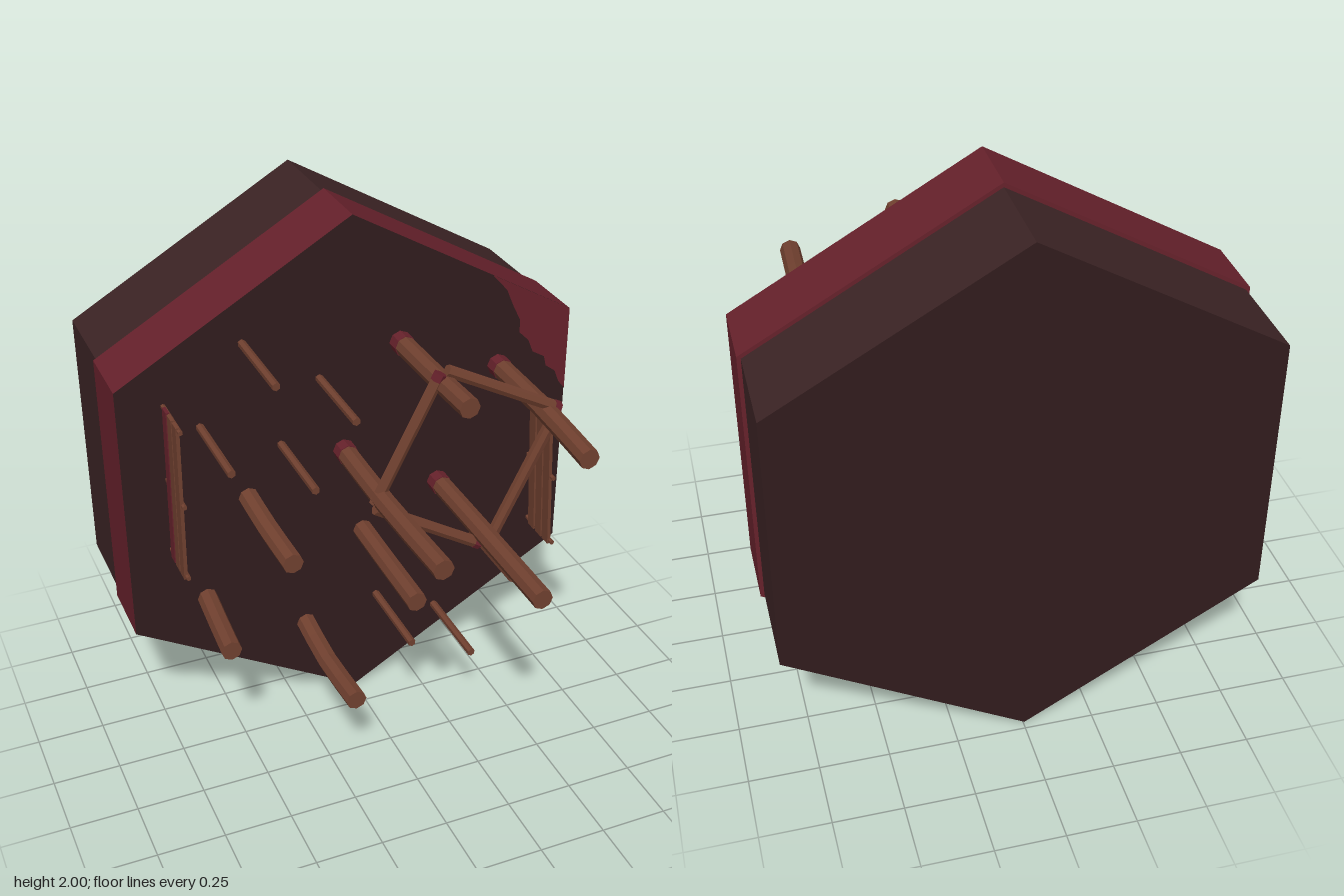
import * as THREE from 'three';

const FACE = -0.11; // z of the tile's front face

const mat = (name, color, extra = {}) => {
  const m = new THREE.MeshStandardMaterial({ color, flatShading: true, ...extra });
  m.name = name;
  return m;
};

export function createModel() {
  const group = new THREE.Group();
  const earth = mat('dark earth', 0x311c1d);
  const rock = mat('brown rock', 0x3b2324);
  const red = mat('deep red', 0x66212b);
  const wood = mat('wood', 0x70402f);

  const add = (name, geo, material, parent = group) => {
    const m = new THREE.Mesh(geo, material);
    m.name = name;
    parent.add(m);
    return m;
  };

  // Hexagonal slab between two z positions: sides, front cap, back cap
  const slab = (name, r, z0, z1, materials) => {
    const g = new THREE.CylinderGeometry(r, r, z1 - z0, 6).rotateX(Math.PI / 2);
    add(name, g.translate(0, 1, (z0 + z1) / 2), materials);
  };
  slab('frontTile', 1, -0.375, FACE, [red, earth, red]);
  slab('backTile', 0.984, -0.735, -0.375, [rock, earth, earth]);

  // Ragged red corner on the front face
  const corner = [[0.54, 1.688], [0.6, 1.62], [0.63, 1.55], [0.66, 1.49], [0.66, 1.44], [0.7, 1.4],
    [0.72, 1.35], [0.77, 1.32], [0.78, 1.28], [0.82, 1.25], [0.84, 1.2], [0.866, 1.17], [0.866, 1.5]];
  const patch = new THREE.Shape(corner.map(([x, y]) => new THREE.Vector2(x, y)));
  add('redCorner', new THREE.ShapeGeometry(patch).translate(0, 0, FACE + 0.003), red);

  // Post standing out of the face, bent along a curve from base through middle to tip
  const post = (name, [bx, by], [mx, my], [tx, ty], end, r, sides = 8, z0 = FACE - 0.02, material = wood) => {
    const len = end - z0;
    const g = new THREE.CylinderGeometry(r, r, len, sides, 4).rotateX(Math.PI / 2).translate(0, 0, (z0 + end) / 2);
    const curve = new THREE.CatmullRomCurve3([
      new THREE.Vector3(bx, by, 0), new THREE.Vector3(mx, my, 0), new THREE.Vector3(tx, ty, 0)]);
    const p = g.attributes.position;
    for (let i = 0; i < p.count; i++) {
      const t = THREE.MathUtils.clamp((p.getZ(i) - z0) / len, 0, 1);
      const c = curve.getPoint(t);
      p.setXY(i, p.getX(i) + c.x, p.getY(i) + c.y);
    }
    g.computeVertexNormals();
    return add(name, g, material);
  };

  // Thick posts: base, middle, tip, tip z, red foot
  [
    [[0.18, 1.495], [0.178, 1.5], [0.178, 1.51], 0.46, true],
    [[0.575, 1.325], [0.57, 1.325], [0.555, 1.312], 0.61, true],
    [[-0.04, 1.1], [-0.046, 1.1], [-0.035, 1.102], 0.735, true],
    [[0.34, 0.88], [0.341, 0.88], [0.34, 0.88], 0.735, true],
    [[0.035, 0.735], [0.034, 0.73], [0.032, 0.73], 0.395, false],
    [[-0.2, 0.366], [-0.205, 0.347], [-0.2, 0.36], 0.395, false],
    [[-0.585, 0.59], [-0.595, 0.583], [-0.605, 0.583], 0.225, false],
    [[-0.41, 0.985], [-0.408, 0.97], [-0.398, 0.957], 0.315, false],
  ].forEach(([b, m, t, end, foot]) => {
    post('post', b, m, t, end, 0.038);
    if (foot) post('postFoot', b, b, b, -0.06, 0.041, 8, FACE - 0.01, red);
  });

  // Thin pegs
  [[-0.41, 1.6], [-0.575, 1.31], [-0.13, 1.41], [-0.28, 1.175],
    [0.19, 0.73], [0.09, 0.42], [0.34, 0.3], [0.5, 0.6]]
    .forEach(p => post('peg', p, p, p, 0.235, 0.015, 6));

  // Straight rod between two points
  const rod = (name, a, b, r, material, sides = 7) => {
    const A = new THREE.Vector3(...a), B = new THREE.Vector3(...b);
    const dir = B.clone().sub(A);
    const m = add(name, new THREE.CylinderGeometry(r, r, dir.length(), sides), material);
    m.position.copy(A).add(B).multiplyScalar(0.5);
    m.quaternion.setFromUnitVectors(new THREE.Vector3(0, 1, 0), dir.normalize());
  };

  // Square of rails tied around the four long posts, some with red tips
  [
    [[-0.07, 1.08, 0.25], [0.157, 1.55, 0.27], true],
    [[0.185, 1.555, 0.265], [0.61, 1.337, 0.29], true],
    [[0.6, 1.33, 0.3], [0.39, 0.87, 0.275], false],
    [[-0.07, 1.063, 0.255], [0.33, 0.828, 0.27], true],
  ].forEach(([a, b, tip]) => {
    rod('rail', a, b, 0.022, wood);
    if (tip) {
      const near = a.map((v, i) => v + (b[i] - v) * 0.95);
      const far = a.map((v, i) => v + (b[i] - v) * 1.005);
      rod('railTip', near, far, 0.0235, red);
    }
  });

  // Plank fences at both sides, with thin crossbars reaching out of the face
  const fence = (name, top, bottom, redPlank) => {
    const f = new THREE.Group();
    f.name = name;
    group.add(f);
    const dx = top[0] - bottom[0], dy = top[1] - bottom[1];
    const tilt = -Math.atan2(dx, dy);
    [0.055, 0, -0.058].forEach((z, i) => {
      const p = add('plank', new THREE.BoxGeometry(0.013, Math.hypot(dx, dy), 0.045), redPlank && i === 2 ? red : wood, f);
      p.position.set((top[0] + bottom[0]) / 2, (top[1] + bottom[1]) / 2, z);
      p.rotation.z = tilt;
    });
    [0.02, 0.5, 0.98].forEach(t => {
      const bar = add('crossbar', new THREE.CylinderGeometry(0.009, 0.009, 0.21, 6).rotateX(Math.PI / 2), wood, f);
      bar.position.set(bottom[0] + dx * t + 0.005, bottom[1] + dy * t, -0.01);
    });
  };
  fence('leftFence', [0.712, 1.21], [0.74, 0.6], false);
  fence('rightFence', [-0.705, 1.43], [-0.712, 0.825], true);

  return group;
}
